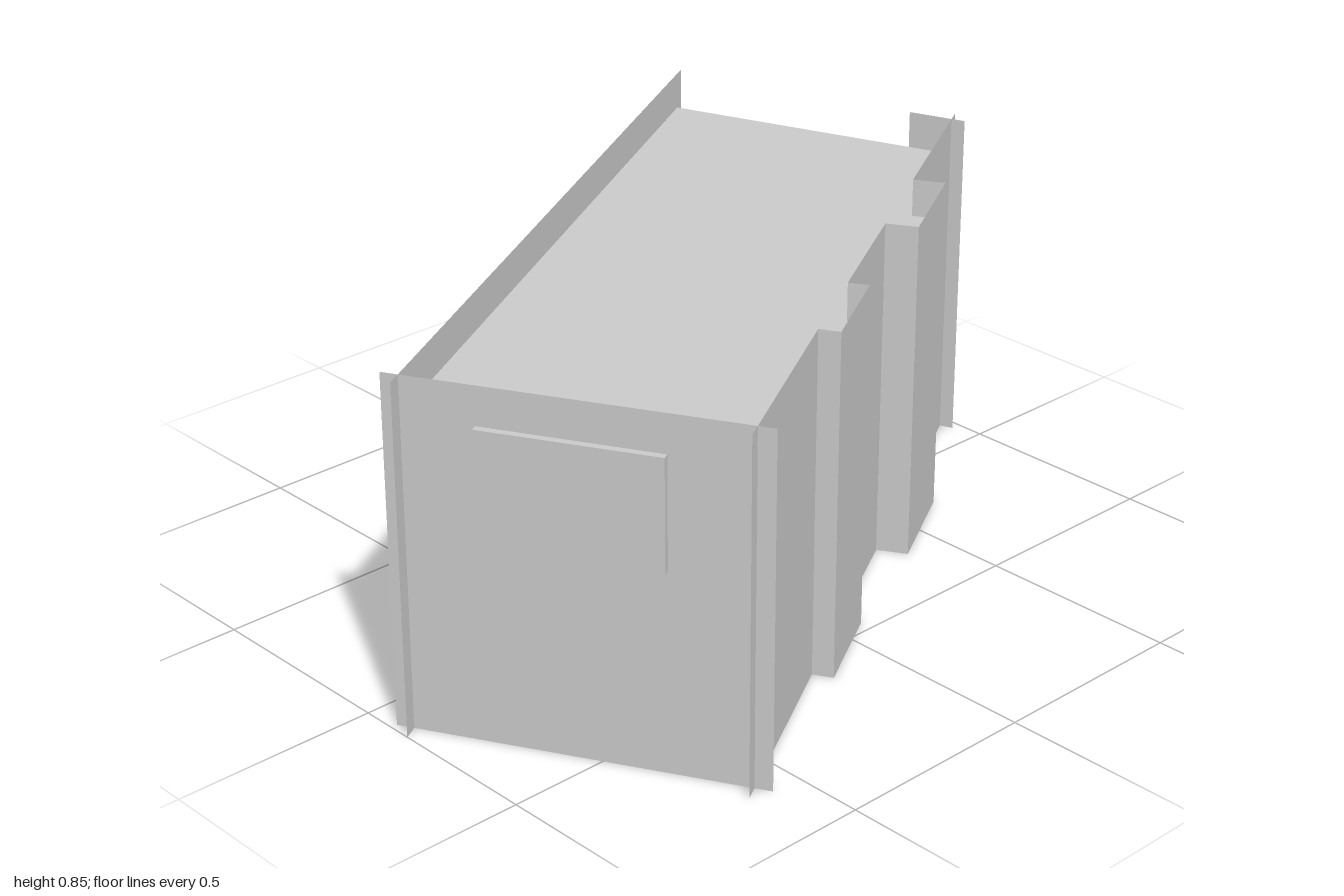
import * as THREE from 'three';

const HEIGHT = 0.85;
const ROOF_Y = 0.757;

// Plan points as [x, z]
const frontLeftEnd = [0.962, -0.105], frontRightEnd = [-0.595, 0.797];
const backLeftEnd = [0.693, -0.817], backRightEnd = [-0.965, 0.118];
const facade = [
  frontRightEnd,
  [-0.177, 0.553], [-0.152, 0.597], [0.07, 0.468], [0.045, 0.425],
  [0.35, 0.249], [0.39, 0.316], [0.634, 0.175], [0.595, 0.107],
  frontLeftEnd,
];

// Point a distance d beyond b, on the line from a to b
function beyond(a, b, d) {
  const len = Math.hypot(b[0] - a[0], b[1] - a[1]);
  return [b[0] + (b[0] - a[0]) * d / len, b[1] + (b[1] - a[1]) * d / len];
}

export function createModel() {
  const group = new THREE.Group();
  const plaster = new THREE.MeshStandardMaterial({ color: 0xcccccc, side: THREE.DoubleSide });
  plaster.name = 'light grey plaster';

  const add = (name, geometry) => {
    const mesh = new THREE.Mesh(geometry, plaster);
    mesh.name = name;
    group.add(mesh);
    return mesh;
  };

  // Thin upright wall panel between two plan points
  const wall = (name, a, b) => {
    const dx = b[0] - a[0], dz = b[1] - a[1];
    const mesh = add(name, new THREE.PlaneGeometry(Math.hypot(dx, dz), HEIGHT));
    mesh.position.set((a[0] + b[0]) / 2, HEIGHT / 2, (a[1] + b[1]) / 2);
    mesh.rotation.y = Math.atan2(-dz, dx);
  };

  // Stepped front wall, its two ends running past the corners
  const ext = 0.041;
  const run = facade.slice();
  const last = run.length - 1;
  run[0] = beyond(facade[1], facade[0], ext);
  run[last] = beyond(facade[last - 1], facade[last], ext);
  for (let i = 0; i < last; i++) wall('frontWall' + (i + 1), run[i], run[i + 1]);

  // Back and right walls, crossing at the corners
  wall('backWall', beyond(backLeftEnd, backRightEnd, ext), beyond(backRightEnd, backLeftEnd, 0.033));
  wall('rightWall', beyond(frontRightEnd, backRightEnd, ext), beyond(backRightEnd, frontRightEnd, ext));

  // Short return on the otherwise open left end
  wall('leftWallReturn', beyond(backLeftEnd, frontLeftEnd, 0.035), beyond(backLeftEnd, frontLeftEnd, -0.112));

  // Flat roof set below the parapet
  const outline = [...facade, backLeftEnd, backRightEnd].map(([x, z]) => new THREE.Vector2(x, -z));
  const roof = new THREE.ShapeGeometry(new THREE.Shape(outline));
  roof.rotateX(-Math.PI / 2);
  add('roof', roof).position.y = ROOF_Y;

  // Window block passing through the right wall
  const dx = frontRightEnd[0] - backRightEnd[0], dz = frontRightEnd[1] - backRightEnd[1];
  const len = Math.hypot(dx, dz);
  const inX = dz / len, inZ = -dx / len;
  const along = 0.585, inset = 0.031;
  const block = add('windowBlock', new THREE.BoxGeometry(0.416, 0.27, 0.096));
  block.position.set(
    backRightEnd[0] + dx * along * 0.83 + inX * inset, 0.622,
    backRightEnd[1] + dz * along * 0.83 + inZ * inset);
  block.rotation.y = Math.atan2(-dz, dx);

  return group;
}
